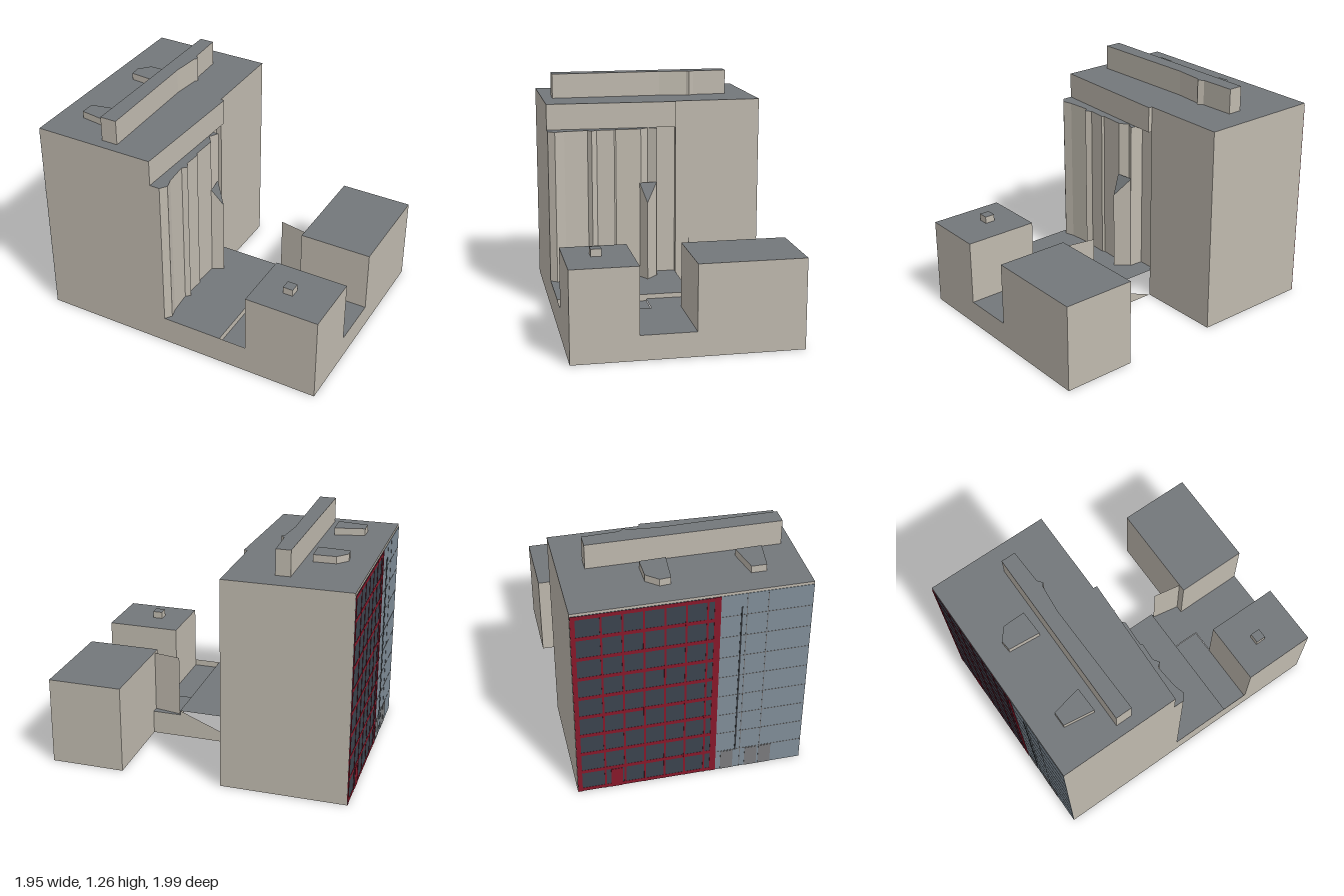
import * as THREE from 'three';

const paint = (color) => new THREE.MeshStandardMaterial({ color, flatShading: true, side: THREE.DoubleSide });
const stone = paint(0xbfb9ae);
const roofing = paint(0x73777a);
const red = paint(0x88182a);
const glass = paint(0x3b444e);
const panel = paint(0x808e99);
const trim = paint(0x7a7b7d);
const seam = paint(0x34383c);

export function createModel() {
  const model = new THREE.Group();
  // The plan is drawn square to the walls, then turned; x runs along the tower, z away from its glazed face
  const building = new THREE.Group();
  building.name = 'building';
  building.position.set(-0.97, 0, -0.23);
  building.rotation.y = THREE.MathUtils.degToRad(40.3);
  model.add(building);

  const add = (name, geo, mat) => {
    const m = new THREE.Mesh(geo, mat);
    m.name = name;
    building.add(m);
    return m;
  };
  const box = (name, x0, x1, y0, y1, z0, z1, mat) =>
    add(name, new THREE.BoxGeometry(x1 - x0, y1 - y0, z1 - z0), mat)
      .position.set((x0 + x1) / 2, (y0 + y1) / 2, (z0 + z1) / 2);
  // Upright sheet along a plan line of [x, z] points
  const wall = (name, pts, y0, y1) => {
    const pos = [];
    for (let i = 0; i + 1 < pts.length; i++) {
      const [[ax, az], [bx, bz]] = [pts[i], pts[i + 1]];
      pos.push(ax, y0, az, bx, y0, bz, bx, y1, bz, ax, y0, az, bx, y1, bz, ax, y1, az);
    }
    const geo = new THREE.BufferGeometry();
    geo.setAttribute('position', new THREE.Float32BufferAttribute(pos, 3));
    geo.computeVertexNormals();
    return add(name, geo, stone);
  };
  // Flat sheet over a plan outline
  const cover = (name, pts, y) => {
    const shape = new THREE.Shape(pts.map(([x, z]) => new THREE.Vector2(x, -z)));
    return add(name, new THREE.ShapeGeometry(shape).rotateX(-Math.PI / 2).translate(0, y, 0), roofing);
  };
  const rect = (x0, x1, z0, z1) => [[x0, z0], [x1, z0], [x1, z1], [x0, z1]];
  // Walls all round with a cover on top, open below
  const block = (name, pts, y0, y1) => {
    wall(name + 'Walls', [...pts, pts[0]], y0, y1);
    cover(name + 'Top', pts, y1);
  };

  // Tower shell and roof
  const W = 1.185, H = 1.13, B = 0.004;
  wall('towerWalls', [[0, 0.665], [0, B], [W, B], [W, 0.67], [0.712, 0.67]], 0, H);
  cover('towerRoof', [[0, B], [W, B], [W, 0.67], [0.712, 0.67], [0.71, 0.69], [0, 0.665]], H);
  wall('roofOverhang', [[0, 0.665], [0.71, 0.69], [0.712, 0.67]], 0.99, H);

  // Pleated courtyard wall below the overhang
  const pleats = [[0, 0.72], [0.036, 0.746], [0.088, 0.731], [0.215, 0.72], [0.235, 0.744],
    [0.265, 0.723], [0.36, 0.728], [0.37, 0.718], [0.507, 0.724], [0.55, 0.69],
    [0.598, 0.717], [0.602, 0.64], [0.712, 0.64]];
  wall('courtyardWall', pleats, 0.155, 0.99);
  wall('courtyardWallEnd', [[0, 0.665], [0, 0.72]], 0, 0.99);
  wall('courtyardBayEnd', [[0.712, 0.64], [0.712, 0.67]], 0.155, 0.99);
  cover('courtyardWallTop', [[0, 0.6], ...pleats, [0.712, 0.6]], 0.99);

  // Triangular pier with a sloping top
  const pierPlan = [[0.5, 0.726], [0.533, 0.785], [0.598, 0.712]];
  for (const part of [wall('slopedPier', [...pierPlan, pierPlan[0]], 0.155, 0.69), cover('pierSlope', pierPlan, 0.69)]) {
    const p = part.geometry.attributes.position;
    for (let i = 0; i < p.count; i++) {
      if (p.getY(i) > 0.5 && p.getZ(i) > 0.75) p.setY(i, 0.59);
    }
    part.geometry.computeVertexNormals();
  }

  // Roof structures
  block('penthouse', [[0.057, 0.352], [1.048, 0.352], [1.048, 0.43], [0.86, 0.437], [0.833, 0.457],
    [0.817, 0.444], [0.666, 0.43], [0.057, 0.442]], H, 1.265);
  block('roofHatch', [[0.197, 0.14], [0.275, 0.14], [0.309, 0.301], [0.174, 0.305]], H, 1.168);
  block('roofVent', [[0.671, 0.137], [0.728, 0.132], [0.789, 0.184], [0.791, 0.304], [0.657, 0.308]], H, 1.168);

  // Low front blocks
  const F = 1.61;
  const blockTop = 0.48, wingTop = 0.475;
  wall('leftBlockOuter', [[0, 1.207], [0, F], [0.345, F]], 0, blockTop);
  wall('leftBlockInner', [[0.345, F], [0.345, 1.207], [0, 1.207]], 0.12, blockTop);
  cover('leftBlockRoof', rect(0, 0.345, 1.207, F), blockTop);
  block('blockVent', rect(0.135, 0.19, 1.35, 1.405), blockTop, 0.518);
  wall('rightWingOuter', [[0.632, F], [1.187, F], [1.187, 1.213], [0.712, 1.213]], 0, wingTop);
  wall('rightWingInner', [[0.632, F], [0.632, 1.213], [0.712, 1.213]], 0.13, wingTop);
  cover('rightWingRoof', rect(0.632, 1.187, 1.213, F), wingTop);
  wall('courtScreen', [[0.7, 1.06], [0.672, 1.213]], 0.13, 0.47);

  // Courtyard decks, open underneath
  cover('upperDeck', rect(0, 0.712, 0.64, 1.055), 0.155);
  cover('lowerDeckBack', rect(0.475, 0.712, 1.055, 1.213), 0.13);
  cover('lowerDeckFront', rect(0.345, 0.632, 1.207, F), 0.13);
  cover('sunkenDeck', rect(0, 0.475, 1.055, 1.207), 0.12);

  // Low walls holding the decks
  wall('sideWall', [[0, 0.72], [0, 1.207]], 0, 0.155);
  wall('frontWall', [[0.345, F], [0.632, F]], 0, 0.13);
  wall('stepRiser', [[0, 1.055], [0.712, 1.055]], 0.12, 0.155);
  wall('courtWall', [[0.712, 1.055], [0.712, 1.213]], 0, 0.13);
  const ramp = new THREE.BufferGeometry();
  ramp.setAttribute('position', new THREE.Float32BufferAttribute(
    [0.712, 0, 0.67, 0.712, 0.155, 1.055, 0.712, 0, 1.055], 3));
  ramp.computeVertexNormals();
  add('rampWall', ramp, stone);

  // Glazed rear face: red grid over dark glass
  const gx0 = 0.46, gx1 = 1.183, top = 1.115;
  box('rearGlass', gx0, gx1, 0, top, 0.002, B, glass);
  box('cornerBand', gx0, 0.492, 0, top, 0, B, red);
  box('cornerBand', 1.16, gx1, 0, top, 0, B, red);
  for (let i = 0; i < 6; i++) {
    const x = 0.524 + i * 0.103;
    box('mullion', x - 0.005, x + 0.005, 0, top, 0.0005, B, red);
  }
  for (let j = 0; j <= 9; j++) {
    const y = 0.012 + (j / 9) * (top - 0.024);
    box('floorBand', gx0, gx1, y - 0.01, y + 0.01, 0.001, B, red);
  }
  box('rearDoor', 0.95, 1.01, 0, 0.12, 0, B, red);

  // Plain panelled strip beside it
  box('rearPanel', 0, gx0, 0, top, 0.002, B, panel);
  box('panelSeam', 0.352, 0.36, 0.12, 1.04, 0, B, seam);
  for (const x of [0.33, 0.225]) box('panelJoint', x - 0.002, x + 0.002, 0, top, 0.001, B, trim);
  for (let j = 1; j < 9; j++) box('panelJoint', 0, gx0, j * 0.124 - 0.002, j * 0.124 + 0.002, 0.001, B, trim);
  for (const x of [0.4, 0.27, 0.195]) box('panelDoor', x - 0.033, x + 0.033, 0, 0.12, 0.0005, B, trim);
  return model;
}
